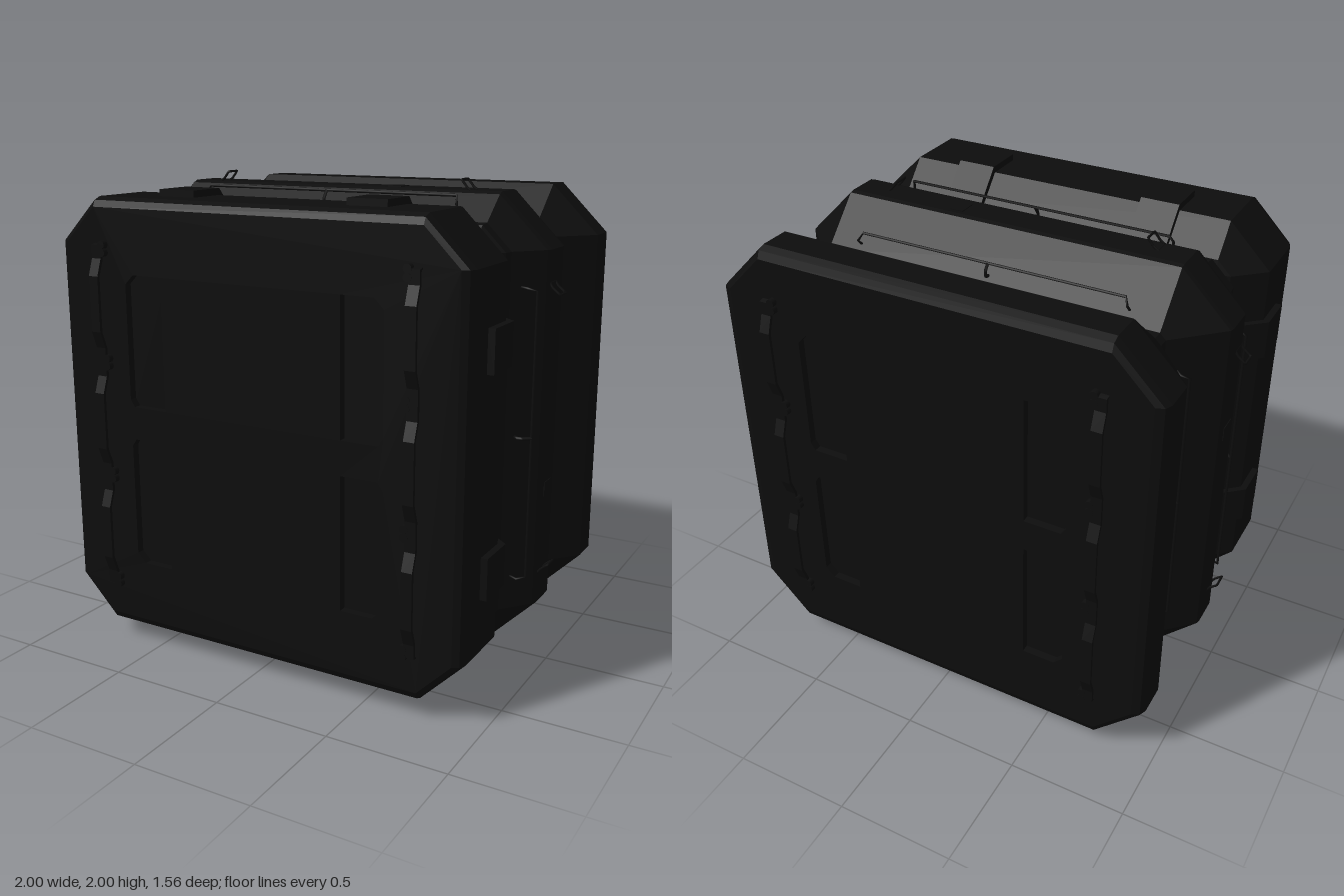
import * as THREE from 'three';

const black = new THREE.MeshStandardMaterial({ color: 0x0d0d0d, side: THREE.DoubleSide });
black.name = 'matte black';

const CHAMFER = 0.74; // where the corner chamfer begins on every section

function octagon(h) {
  const a = Math.min(CHAMFER, h - 0.02);
  return [[h, -a], [h, a], [a, h], [-a, h], [-h, a], [-h, -a], [-a, -h], [a, -h]];
}

function add(parent, name, geometry, x = 0, y = 0, z = 0) {
  const mesh = new THREE.Mesh(geometry, black);
  mesh.name = name;
  mesh.position.set(x, y, z);
  parent.add(mesh);
  return mesh;
}

// Octagonal sections [z, half size] joined along z with hard edges
function loft(sections) {
  const pos = [];
  for (let s = 0; s < sections.length - 1; s++) {
    const [z0, h0] = sections[s], [z1, h1] = sections[s + 1];
    const A = octagon(h0), B = octagon(h1);
    for (let i = 0; i < 8; i++) {
      const j = (i + 1) % 8;
      pos.push(...A[i], z0, ...A[j], z0, ...B[j], z1);
      pos.push(...A[i], z0, ...B[j], z1, ...B[i], z1);
    }
  }
  const g = new THREE.BufferGeometry();
  g.setAttribute('position', new THREE.Float32BufferAttribute(pos, 3));
  g.computeVertexNormals();
  return g;
}

// Profile given as [z, height], extruded along x
function crossPiece(points, width) {
  const shape = new THREE.Shape(points.map(p => new THREE.Vector2(...p)));
  const g = new THREE.ExtrudeGeometry(shape, { depth: width, bevelEnabled: false });
  return g.rotateY(-Math.PI / 2).translate(width / 2, 0, 0);
}

function wire(points, radius, closed = false) {
  const path = new THREE.CurvePath();
  const v = points.map(p => new THREE.Vector3(...p));
  if (closed) v.push(v[0].clone());
  for (let i = 0; i < v.length - 1; i++) path.add(new THREE.LineCurve3(v[i], v[i + 1]));
  return new THREE.TubeGeometry(path, (v.length - 1) * 4, radius, 6);
}

// Flat end panel with four recesses and two bent grab straps
function endPanel(h) {
  const g = new THREE.Group();
  const face = new THREE.Shape(octagon(h).map(p => new THREE.Vector2(...p)));
  for (const sx of [-1, 1]) for (const sy of [-1, 1]) {
    const corners = [[0.41, 0.07], [0.57, 0.07], [0.59, 0.10], [0.59, 0.58], [0.55, 0.62], [0.41, 0.62]];
    face.holes.push(new THREE.Path(corners.map(([x, y]) => new THREE.Vector2(x * sx, y * sy))));
    add(g, 'recessFloor', new THREE.PlaneGeometry(0.2, 0.57), 0.5 * sx, 0.345 * sy, 0.702);
  }
  add(g, 'recessedFace', new THREE.ExtrudeGeometry(face, { depth: 0.035, bevelEnabled: false }), 0, 0, 0.7);

  const outer = [[0.735, 0.74], [0.757, 0.735], [0.757, 0.68], [0.782, 0.61], [0.782, 0.38], [0.757, 0.31],
    [0.757, 0.19], [0.782, 0.12], [0.782, -0.12], [0.757, -0.19], [0.757, -0.31], [0.782, -0.38],
    [0.782, -0.61], [0.757, -0.68], [0.757, -0.735], [0.735, -0.74]];
  const inner = outer.map(([z, y]) => [z - 0.013, y * 0.995]).reverse();
  for (const sx of [-1, 1]) {
    add(g, 'grabStrap', crossPiece([...outer, ...inner], 0.045), 0.717 * sx, 0, 0);
    for (const y of [-0.72, -0.24, 0.25, 0.72]) {
      for (const dy of [-0.016, 0.016]) {
        const stud = new THREE.CylinderGeometry(0.017, 0.017, 0.025, 12).rotateX(Math.PI / 2);
        add(g, 'strapStud', stud, 0.69 * sx, y + dy, 0.746);
      }
    }
  }
  return g;
}

// Fittings repeated on the top, bottom, left and right
function sideFittings() {
  const g = new THREE.Group();
  const plate = [[0.58, 0.92], [0.58, 0.953], [0.405, 0.953], [0.285, 0.82], [0.3, 0.79], [0.415, 0.92]];
  for (const s of [-1, 1]) {
    add(g, 'latchPlate', crossPiece(plate, 0.17), 0.435 * s, 0, 0);
    // small wire ring leaning inward
    add(g, 'tieRing', wire([[0.61 * s, 0.952, -0.035], [0.59 * s, 0.965, -0.035], [0.565 * s, 0.996, -0.035],
      [0.565 * s, 0.996, 0.03], [0.59 * s, 0.965, 0.03], [0.61 * s, 0.952, 0.03]], 0.005, true));
  }
  // long rails whose hooked ends return to the sloping faces
  const hooks = [
    [[-0.255, 0.80], [-0.285, 0.81], [-0.283, 0.835], [-0.265, 0.858]],
    [[0.135, 0.87], [0.157, 0.885], [0.152, 0.91], [0.13, 0.94]],
  ];
  for (const hook of hooks) {
    const side = s => hook.map(([z, h]) => [0.6 * s, h, z]);
    add(g, 'longRail', wire([...side(-1), ...side(1).reverse()], 0.006));
    add(g, 'railBracket', wire(hook.map(([z, h]) => [0, h, z]), 0.007));
  }
  add(g, 'edgeTab', new THREE.BoxGeometry(0.06, 0.02, 0.08), 0.25, 0.948, -0.04);
  return g;
}

export function createModel() {
  const model = new THREE.Group();
  model.name = 'crate';
  const core = new THREE.Group();
  core.name = 'crateCore';
  core.position.y = 1;
  model.add(core);

  // Back block, middle ridge and front block in one shell
  add(core, 'shell', loft([
    [-0.735, 0.905], [-0.722, 0.937], [-0.69, 0.95], [-0.56, 0.95], [-0.345, 0.765], [-0.30, 0.765],
    [-0.12, 0.95], [-0.1, 0.955], [0.03, 0.955], [0.055, 0.945], [0.175, 0.845], [0.22, 0.84],
    [0.295, 0.77], [0.3, 0.80], [0.415, 0.925], [0.69, 0.925], [0.722, 0.912], [0.735, 0.885],
  ]));

  const front = endPanel(0.885);
  front.name = 'frontPanel';
  const back = endPanel(0.905);
  back.name = 'backPanel';
  back.rotation.y = Math.PI;
  core.add(front, back);

  ['top', 'right', 'bottom', 'left'].forEach((name, i) => {
    const fittings = sideFittings();
    fittings.name = name + 'Fittings';
    fittings.rotation.z = i * Math.PI / 2;
    core.add(fittings);
  });
  return model;
}
